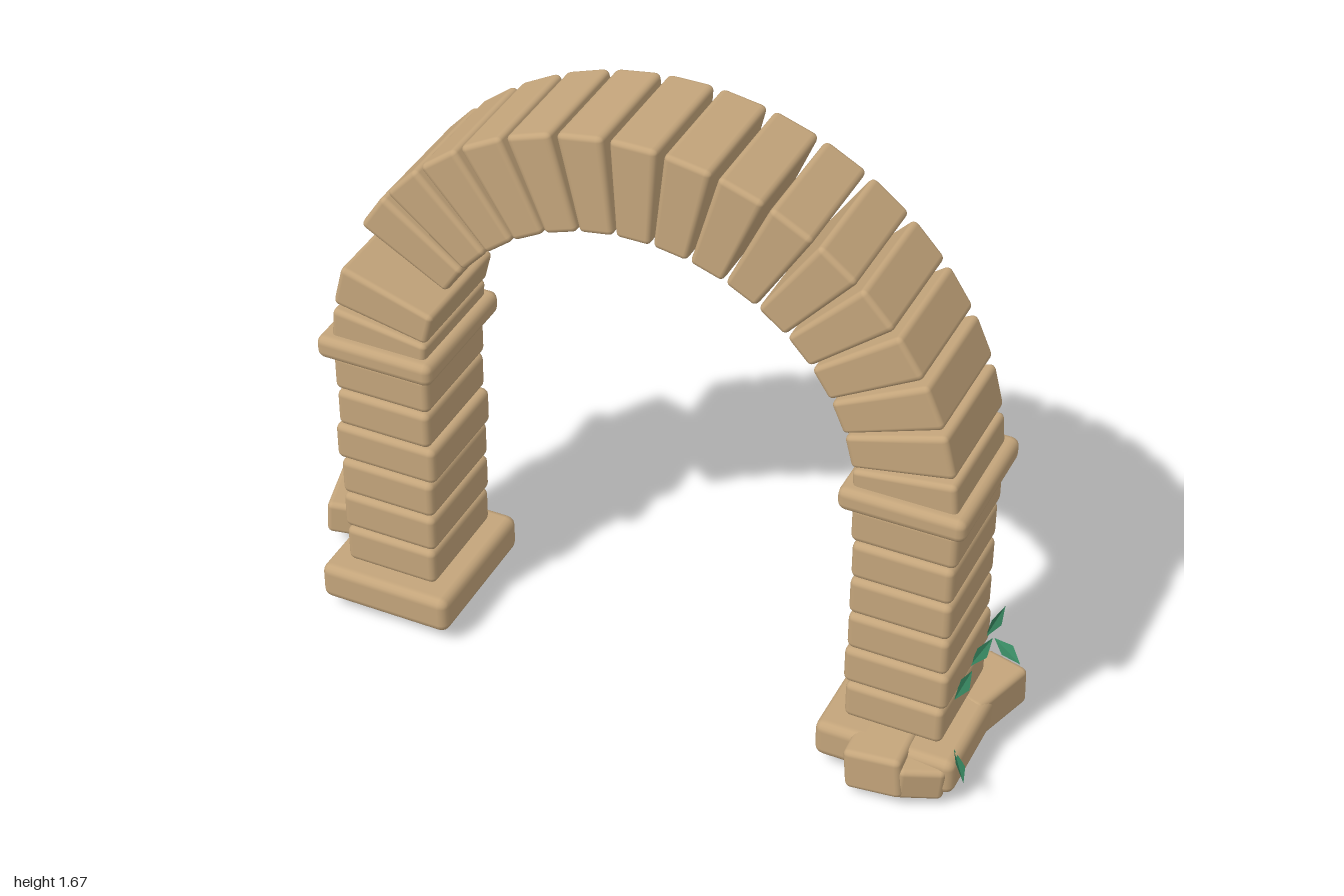
import * as THREE from 'three';
import { RoundedBoxGeometry } from 'three/addons/geometries/RoundedBoxGeometry.js';

const flat = (name, color, side = THREE.FrontSide) => {
  const m = new THREE.MeshStandardMaterial({ color, side });
  m.name = name;
  return m;
};

export function createModel() {
  const stone = flat('sandstone', 0xc4a57b);
  const clamp = flat('clamp brown', 0xa28761);
  const seam = flat('dark seam', 0x6b5a45);
  const slate = flat('slate grey', 0x76878a);
  const dark = flat('dark slate', 0x3a4649);
  const green = flat('leaf green', 0x36855f, THREE.DoubleSide);

  const model = new THREE.Group();
  model.name = 'ruinedArch';

  const add = (name, geometry, material, pos, rot = [0, 0, 0], parent = model) => {
    const mesh = new THREE.Mesh(geometry, material);
    mesh.name = name;
    mesh.position.set(...pos);
    mesh.rotation.set(...rot);
    parent.add(mesh);
    return mesh;
  };
  const block = (w, h, d, r = 0.015) => new RoundedBoxGeometry(w, h, d, 2, r);

  // Wedge stone: a rounded block narrowed toward the inside of the arch
  const CX = 0.053, CY = 0.835, R = 0.7, STEP = Math.PI / 19, MID_Z = 0.022;
  const wedge = (() => {
    const g = block(0.104, 0.262, 0.325, 0.014);
    const p = g.attributes.position, n = g.attributes.normal;
    const slope = 1.2;
    const v = new THREE.Vector3();
    for (let i = 0; i < p.count; i++) {
      const x = p.getX(i), s = 1 + slope * p.getY(i);
      p.setX(i, x * s);
      v.fromBufferAttribute(n, i);
      v.set(v.x / s, v.y - v.x * x * slope / s, v.z).normalize();
      n.setXYZ(i, v.x, v.y, v.z);
    }
    return g;
  })();

  const disc = (r, h) => new THREE.CylinderGeometry(r, r, h, 20).rotateX(Math.PI / 2);

  // Arch ring with one stone fallen out; a clamp behind each, a stud on every third
  const arch = new THREE.Group();
  arch.name = 'arch';
  model.add(arch);
  const clampGeo = new THREE.BoxGeometry(0.016, 0.058, 0.007);
  const studGeo = disc(0.008, 0.008);
  for (let i = -9; i <= 9; i++) {
    if (i === -7) continue;
    const a = i * STEP;
    const x = CX + R * Math.sin(a), y = CY + R * Math.cos(a);
    add('archStone', wedge, stone, [x, y, MID_Z], [0, 0, -a], arch);
    add('archClamp', clampGeo, clamp, [x, y, -0.156], [0, 0, -a], arch);
    if (i % 3 === 0) add('clampStud', studGeo, clamp, [x, y, -0.162], undefined, arch);
  }

  // Piers: base slab, six courses, capital, and the fittings on the back
  const ringGeo = new THREE.TorusGeometry(0.037, 0.006, 6, 20);
  const plateGeo = disc(0.024, 0.008), hubGeo = disc(0.011, 0.008);
  const backPlateGeo = disc(0.037, 0.006);
  const widths = [
    [0.258, 0.265, 0.265, 0.285, 0.262, 0.268],
    [0.258, 0.272, 0.262, 0.262, 0.26, 0.27],
  ];
  [-0.648, 0.753].forEach((x, side) => {
    const pier = new THREE.Group();
    pier.name = side ? 'leftPier' : 'rightPier';
    pier.position.x = x;
    model.add(pier);
    add('baseSlab', block(0.37, 0.105, 0.41, 0.025), stone, [-0.003, 0.092, 0.02], undefined, pier);
    widths[side].forEach((w, i) => {
      add('course', block(w, 0.106, 0.31, 0.018), stone, [0, 0.208 + i * 0.111, 0.024], undefined, pier);
    });
    add('capital', block(0.322, 0.064, 0.378, 0.022), stone, [0, 0.853, 0.024], undefined, pier);
    for (const s of [-1, 1]) {
      add('backSeam', new THREE.BoxGeometry(0.004, 0.54, 0.006), seam, [s * 0.1, 0.52, -0.135], undefined, pier);
    }
    for (let i = 0; i < 4; i++) {
      const y = 0.3 + i * 0.124;
      add('ringBack', backPlateGeo, clamp, [0, y, -0.134], undefined, pier);
      add('ring', ringGeo, clamp, [0, y, -0.138], undefined, pier);
      add('ringPlate', plateGeo, slate, [0, y, -0.138], undefined, pier);
      add('ringHub', hubGeo, dark, [0, y, -0.141], undefined, pier);
    }
  });

  // Fallen stones around the feet: size, position, rotation
  const rubble = [
    [[0.19, 0.11, 0.2], [-0.83, 0.085, -0.16], [0.06, -0.58, -0.12]],
    [[0.13, 0.1, 0.19], [-0.912, 0.095, -0.11], [0, 0.27, -0.06]],
    [[0.15, 0.12, 0.14], [0.743, 0.088, 0.213], [0, 0.04, 0.08]],
    [[0.12, 0.1, 0.16], [0.83, 0.08, 0.18], [0.1, 0.45, -0.1]],
    [[0.15, 0.12, 0.15], [0.725, 0.085, -0.188], [0.08, 0.7, 0.05]],
    [[0.13, 0.11, 0.2], [0.888, 0.09, -0.115], [0, -0.3, 0.04]],
    [[0.16, 0.09, 0.2], [0.8, 0.06, 0], [0.1, 0.5, 0.08]],
  ];
  for (const [size, pos, rot] of rubble) add('fallenStone', block(...size, 0.016), stone, pos, rot);

  // Leaves: pointed blades folded along the middle, given by position, blade direction, facing
  const leafGeo = new THREE.BufferGeometry();
  leafGeo.setAttribute('position', new THREE.Float32BufferAttribute(
    [0, -0.047, 0, 0.019, 0, 0.006, 0, 0.047, 0, 0, -0.047, 0, 0, 0.047, 0, -0.019, 0, 0.006], 3));
  leafGeo.computeVertexNormals();
  const leaves = [
    [[-0.85, 0.335, -0.1], [0.08, -0.04, -0.045], [0.4, 0.8, 0.3]],
    [[-0.85, 0.165, -0.05], [0.08, 0.03, -0.03], [-0.3, 0.8, 0.4]],
    [[-0.815, 0.16, 0], [0.03, 0.05, 0.06], [-0.8, 0.5, 0.2]],
    [[0.895, 0.275, 0.075], [0.01, 0.025, -0.08], [0.8, 0.6, 0.1]],
    [[0.9, 0.3, -0.03], [0.02, 0.03, -0.05], [0.8, 0.6, 0.1]],
    [[0.945, 0.265, -0.1], [0.085, -0.03, 0.035], [0.2, 0.8, 0.4]],
    [[0.9, 0.325, -0.125], [0.02, 0.05, -0.04], [0.8, 0.2, 0.5]],
    [[0.94, 0.13, 0.2], [0.05, -0.03, 0.065], [0.7, 0.7, -0.2]],
  ];
  for (const [pos, dir, facing] of leaves) {
    const y = new THREE.Vector3(...dir).normalize();
    const x = new THREE.Vector3().crossVectors(y, new THREE.Vector3(...facing)).normalize();
    const z = new THREE.Vector3().crossVectors(x, y);
    add('leaf', leafGeo, green, pos).quaternion.setFromRotationMatrix(new THREE.Matrix4().makeBasis(x, y, z));
  }

  return model;
}
